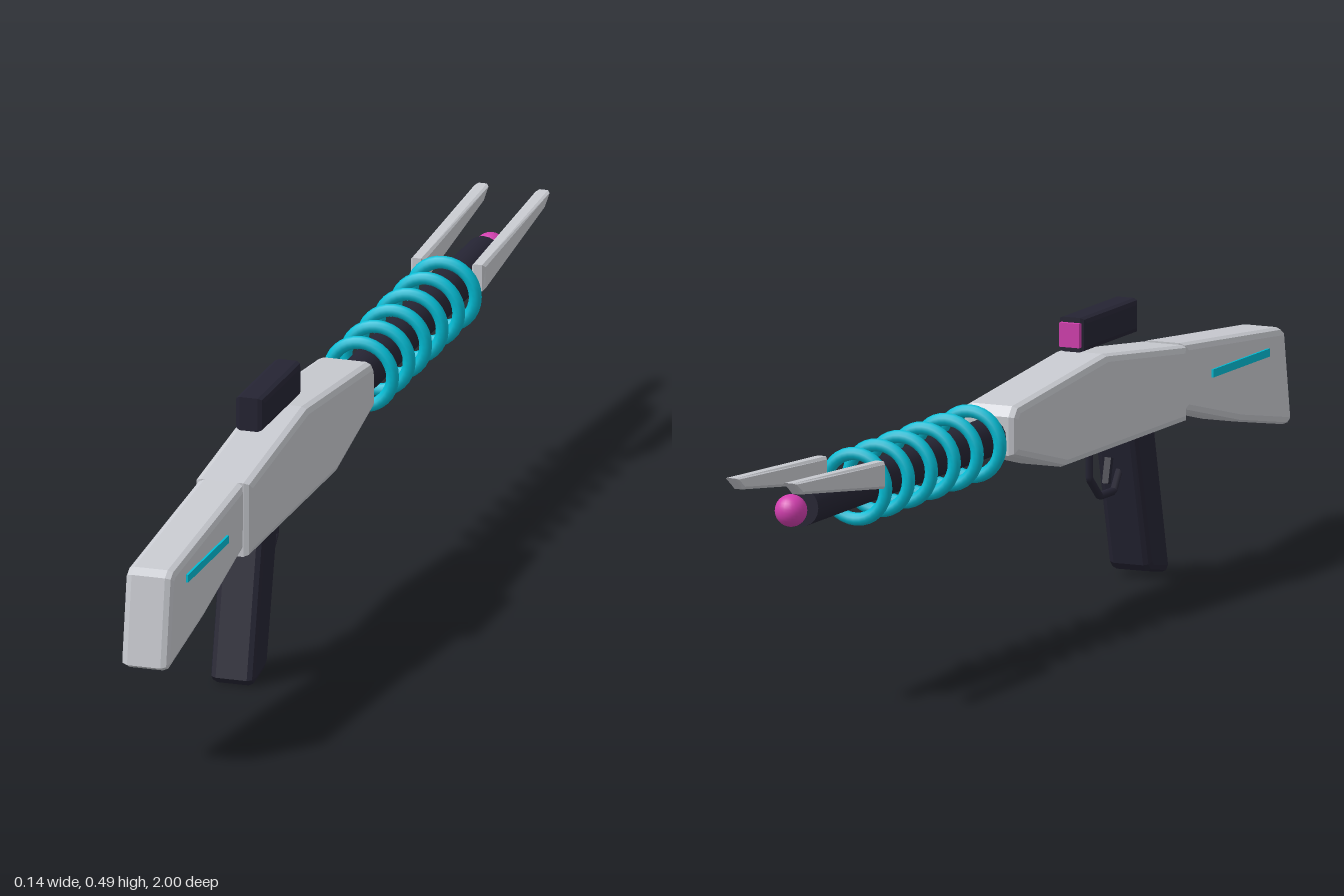
import * as THREE from 'three';

const material = (name, color) => {
  const m = new THREE.MeshStandardMaterial({ color });
  m.name = name;
  return m;
};

export function createModel() {
  const model = new THREE.Group();
  const shell = material('pale grey shell', 0xc8cad0);
  const dark = material('dark polymer', 0x252433);
  const cyan = material('cyan coil', 0x00bcd4);
  const pink = material('magenta glow', 0xd13fae);

  const add = (name, geometry, mat, x = 0, y = 0, z = 0) => {
    const mesh = new THREE.Mesh(geometry, mat);
    mesh.name = name;
    mesh.position.set(x, y, z);
    model.add(mesh);
    return mesh;
  };

  // Bevelled slab: side outline given as [z, y], centred on x
  const slab = (outline, halfWidth, bevel, segments = 2) => {
    const shape = new THREE.Shape(outline.map(([z, y]) => new THREE.Vector2(z, y)));
    const depth = 2 * (halfWidth - bevel);
    const g = new THREE.ExtrudeGeometry(shape, {
      depth, bevelEnabled: true, bevelThickness: bevel, bevelSize: bevel,
      bevelOffset: -bevel, bevelSegments: segments,
    });
    return g.translate(0, 0, -depth / 2).rotateY(-Math.PI / 2);
  };

  // Receiver, stock and grip
  add('receiver', slab([
    [0.575, 0.255], [0.575, 0.388], [0.26, 0.425], [-0.09, 0.392],
    [-0.105, 0.375], [-0.105, 0.308], [0.1, 0.255],
  ], 0.051, 0.013), shell);
  add('stock', slab([
    [0.58, 0.272], [0.795, 0.218], [0.985, 0.182], [1, 0.19],
    [0.975, 0.345], [0.96, 0.355], [0.58, 0.39],
  ], 0.043, 0.013), shell);
  add('grip', slab([
    [0.47, 0.265], [0.527, 0.014], [0.517, 0.003], [0.455, 0.014],
    [0.443, 0.026], [0.386, 0.265],
  ], 0.04, 0.012), dark);

  // Thin accent stripe on each side of the stock
  for (const side of [-1, 1]) {
    add('stockStripe', new THREE.BoxGeometry(0.006, 0.014, 0.22), cyan, side * 0.044, 0.322, 0.79);
  }

  // Trigger guard from straight segments, with the trigger inside
  const guard = new THREE.CurvePath();
  const points = [[0.41, 0.2], [0.385, 0.163], [0.33, 0.163], [0.29, 0.2], [0.29, 0.262]]
    .map(([z, y]) => new THREE.Vector3(0, y, z));
  for (let i = 1; i < points.length; i++) guard.add(new THREE.LineCurve3(points[i - 1], points[i]));
  add('triggerGuard', new THREE.TubeGeometry(guard, 40, 0.007, 6, false), dark);
  const trigger = add('trigger', new THREE.BoxGeometry(0.012, 0.045, 0.01), dark, 0, 0.202, 0.362);
  trigger.rotation.x = 0.25;

  // Sight with a glowing lens facing forward
  add('sight', slab([
    [0.432, 0.432], [0.432, 0.492], [0.22, 0.492], [0.22, 0.432],
  ], 0.026, 0.01), dark);
  add('sightLens', new THREE.BoxGeometry(0.038, 0.042, 0.012), pink, 0, 0.462, 0.217);

  // Barrel, coil rings and emitter ball
  const axisY = 0.338;
  add('barrel', new THREE.CylinderGeometry(0.034, 0.034, 0.78, 20).rotateX(Math.PI / 2),
    dark, 0, axisY, -0.45);
  for (let i = 0; i < 6; i++) {
    add('coilRing', new THREE.TorusGeometry(0.057, 0.0115, 10, 32), cyan, 0, axisY, -0.176 - i * 0.0895);
  }
  add('emitter', new THREE.SphereGeometry(0.028, 24, 16), pink, 0, axisY, -0.877);

  // Pair of prongs flanking the muzzle
  for (const side of [-1, 1]) {
    const prong = slab([
      [-0.643, 0.342], [-0.643, 0.39], [-1, 0.41], [-0.97, 0.386],
    ], 0.0125, 0.005, 1);
    add('prong', prong, shell, side * 0.055, 0, 0);
  }

  return model;
}
